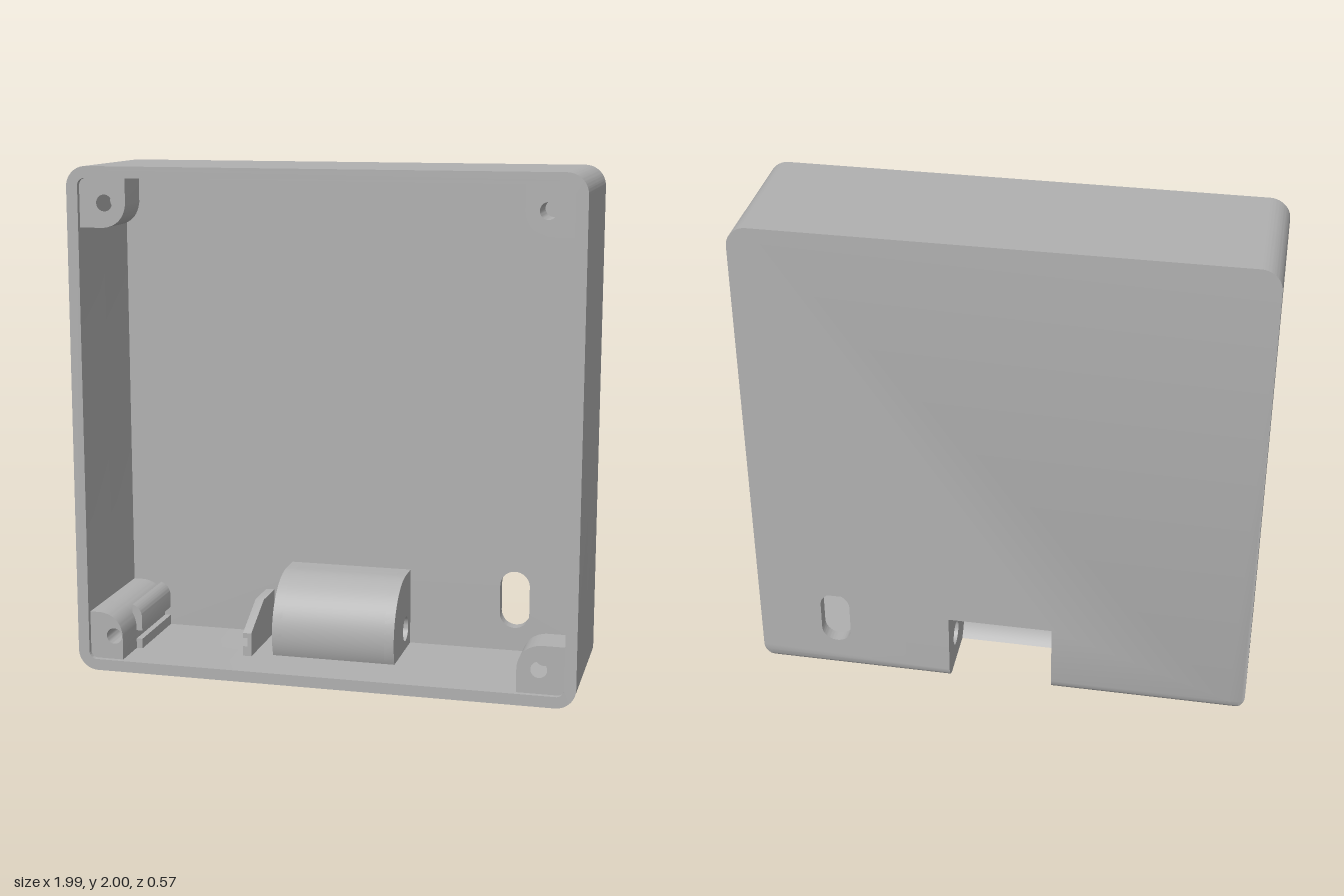
import * as THREE from 'three';
import { toCreasedNormals } from 'three/addons/utils/BufferGeometryUtils.js';

const W = 0.995, H = 2, BACK = -0.285, FRONT = 0.285;
const T = 0.045, PLATE = 0.05, INNER_BACK = BACK + PLATE;
// Pocket cylinder axis and sizes (in the z, y plane)
const CZ = -0.145, CY = 0.13, R_IN = 0.18, R_OUT = 0.225, POCKET = 0.21, HOOD = 0.25;

export function createModel() {
  const group = new THREE.Group();
  const grey = new THREE.MeshStandardMaterial({ color: 0xb0b0b0 });
  grey.name = 'grey plastic';

  const add = (name, geometry) => {
    const mesh = new THREE.Mesh(toCreasedNormals(geometry, 0.5), grey);
    mesh.name = name;
    group.add(mesh);
    return mesh;
  };
  const extrude = (shape, depth, steps = 1) =>
    new THREE.ExtrudeGeometry(shape, { depth, steps, bevelEnabled: false, curveSegments: 16 });
  const alongZ = (name, shape, z0, z1) => add(name, extrude(shape, z1 - z0).translate(0, 0, z0));
  // Shapes drawn as (-z, y) and swept along x
  const alongX = (name, shape, x0, x1) =>
    add(name, extrude(shape, x1 - x0).rotateY(Math.PI / 2).translate(x0, 0, 0));
  const circle = (x, y, r) => new THREE.Path().absarc(x, y, r, 0, Math.PI * 2, true);

  // Counter-clockwise rounded outline, starting and ending on the bottom edge
  const outline = (path, x, y0, y1, r, startX, endX) => {
    path.moveTo(startX, y0);
    path.lineTo(x - r, y0);
    path.absarc(x - r, y0 + r, r, -Math.PI / 2, 0, false);
    path.absarc(x - r, y1 - r, r, 0, Math.PI / 2, false);
    path.absarc(-x + r, y1 - r, r, Math.PI / 2, Math.PI, false);
    path.absarc(-x + r, y0 + r, r, Math.PI, Math.PI * 1.5, false);
    path.lineTo(endX, y0);
    return path;
  };
  const innerOutline = (a, b) => outline(new THREE.Path(), W - T, T, H - T, 0.03, a, b);

  // Front section of the walls: a closed ring
  const ring = outline(new THREE.Shape(), W, 0, H, 0.08, 0, 0);
  ring.holes.push(innerOutline(0, 0));
  alongZ('wallsFront', ring, 0.02, FRONT);

  // Rear section of the walls: floor is open where the pocket sits
  const openRing = new THREE.Shape([
    ...outline(new THREE.Path(), W, 0, H, 0.08, POCKET, -POCKET).getPoints(16),
    ...innerOutline(POCKET, -POCKET).getPoints(16).reverse(),
  ]);
  alongZ('wallsRear', openRing, INNER_BACK, 0.02);

  // Back plate with pocket notch and slot; its lower back edge is rounded
  const back = outline(new THREE.Shape(), W, 0, H, 0.08, POCKET, -POCKET);
  back.lineTo(-POCKET, CY + R_IN);
  back.lineTo(POCKET, CY + R_IN);
  const slot = new THREE.Path();
  slot.absarc(0.68, 0.315, 0.06, 0, Math.PI, false);
  slot.absarc(0.68, 0.2, 0.06, Math.PI, Math.PI * 2, false);
  back.holes.push(slot);
  const backGeo = extrude(back, PLATE, 12);
  const p = backGeo.attributes.position;
  for (let i = 0; i < p.count; i++) {
    const d = PLATE - p.getZ(i);
    p.setY(i, Math.max(p.getY(i), PLATE - Math.sqrt(Math.max(0, PLATE * PLATE - d * d))));
  }
  add('backPlate', backGeo.translate(0, 0, BACK));

  // Curved hood over the pocket
  const arc = (r) => {
    const end = -Math.asin(CY / r), pts = [];
    for (let i = 0; i <= 24; i++) {
      const a = Math.PI / 2 + (end - Math.PI / 2) * (i / 24);
      pts.push(new THREE.Vector2(-(CZ + r * Math.cos(a)), CY + r * Math.sin(a)));
    }
    return pts;
  };
  const v = (z, y) => new THREE.Vector2(-z, y);
  alongX('pocketHood', new THREE.Shape([
    v(INNER_BACK, CY + R_OUT), ...arc(R_OUT), ...arc(R_IN).reverse(), v(INNER_BACK, CY + R_IN),
  ]), -HOOD, HOOD);

  // Hood end walls with pin holes
  const end = new THREE.Shape([v(INNER_BACK, CY + R_OUT), ...arc(R_OUT), v(INNER_BACK, 0)]);
  end.holes.push(circle(-CZ, CY, 0.05));
  alongX('hoodEndLeft', end, POCKET, HOOD);
  alongX('hoodEndRight', end, -HOOD, -POCKET);

  // Corner screw bosses; sx, sy point toward the corner
  const boss = (sx, sy, inner, hole) => {
    const wx = W - T + 0.005, r = 0.09, cy = H / 2;
    const top = cy - T + 0.005, low = 0.765;
    const s = new THREE.Shape();
    s.moveTo(sx * wx, cy + sy * top);
    s.lineTo(sx * inner, cy + sy * top);
    s.lineTo(sx * inner, cy + sy * (low + r));
    s.quadraticCurveTo(sx * (inner + 0.01), cy + sy * (low + 0.01), sx * (inner + r), cy + sy * low);
    s.lineTo(sx * wx, cy + sy * low);
    if (hole) s.holes.push(circle(sx * 0.85, cy + sy * 0.86, 0.032));
    return s;
  };
  for (const [sx, sy, name] of [[1, 1, 'TopLeft'], [-1, 1, 'TopRight'], [1, -1, 'BottomLeft']]) {
    const z0 = 0.11;
    alongZ('screwBoss' + name, boss(sx, sy, 0.765, true), z0, 0.265);
    // closed bottom of the screw hole
    add('screwHoleFloor' + name, new THREE.CircleGeometry(0.034, 20)
      .translate(sx * 0.85, 1 + sy * 0.86, z0 + 0.005));
  }

  // Bottom right boss runs to the back and carries a grooved rail
  alongZ('screwBossBottomRight', boss(-1, -1, 0.815, true), 0.11, 0.265);
  alongZ('railPost', boss(-1, -1, 0.815, false), INNER_BACK, 0.11);
  const railTop = new THREE.Shape();
  railTop.moveTo(-0.83, 0.12);
  railTop.lineTo(-0.79, 0.12);
  railTop.lineTo(-0.79, 0.18);
  railTop.quadraticCurveTo(-0.795, 0.215, -0.83, 0.228);
  alongZ('railUpper', railTop, INNER_BACK, 0.11);
  const railLow = new THREE.BoxGeometry(0.04, 0.045, 0.11 - INNER_BACK);
  add('railLower', railLow.translate(-0.81, 0.0625, (0.11 + INNER_BACK) / 2));

  // Matching clip rail: sloped top, groove facing the post
  const clip = (y0, y1, x0, x1, name) => {
    const s = new THREE.Shape([v(INNER_BACK, y0), v(0.1, y0), v(0.1, y1), v(INNER_BACK, y1)]);
    alongX(name, s, x0, x1);
  };
  clip(0.04, 0.085, -0.365, -0.33, 'clipFoot');
  clip(0.085, 0.12, -0.347, -0.33, 'clipWeb');
  alongX('clipHead', new THREE.Shape([
    v(INNER_BACK, 0.12), v(0.1, 0.12), v(0.1, 0.14), v(-0.08, 0.23), v(INNER_BACK, 0.23),
  ]), -0.365, -0.33);

  return group;
}
